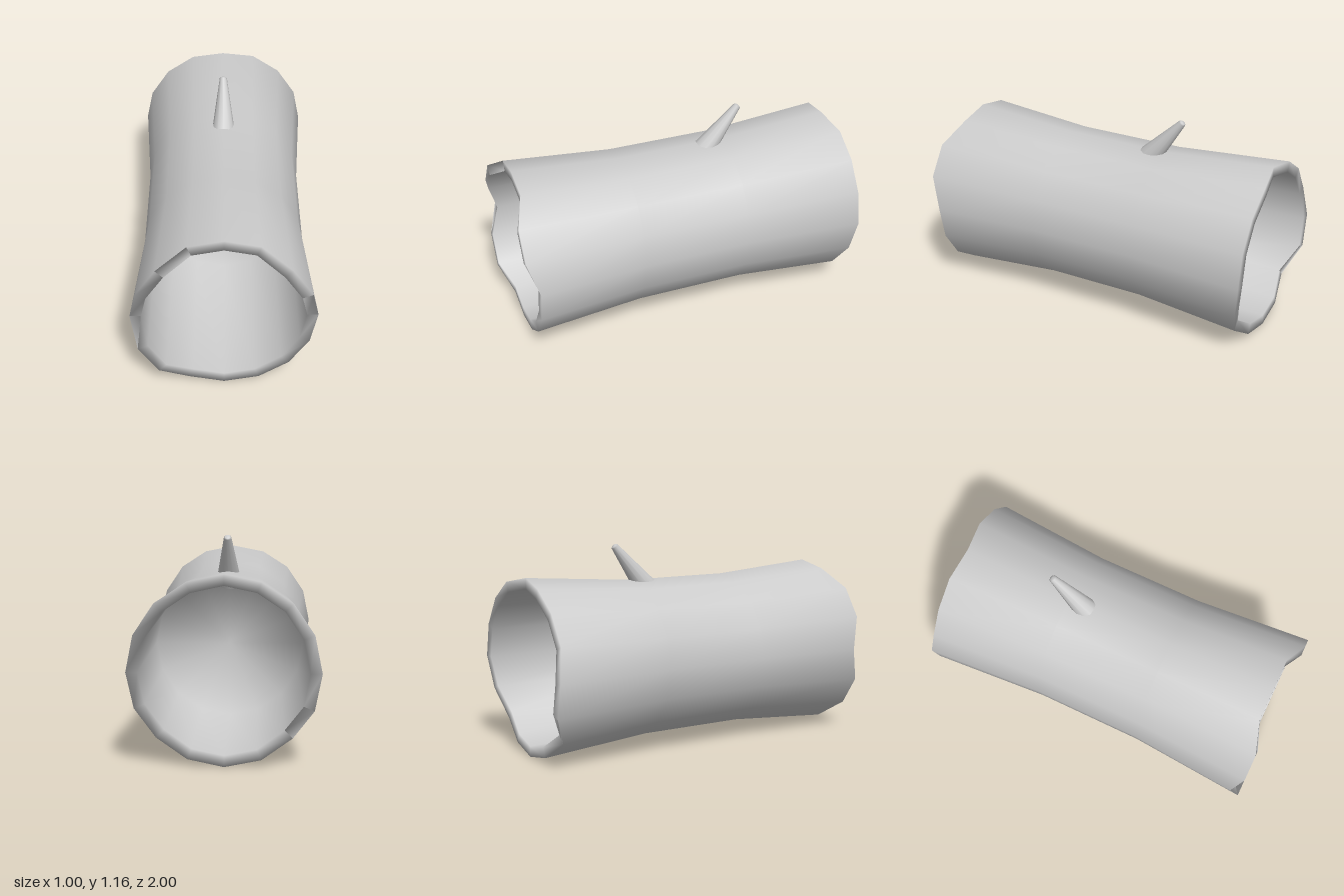
import * as THREE from 'three';

const SIDES = 16;
// Ragged end heights, counter-clockwise from the +x side
const frontEnd = [0.94, 1, 1, 0.94, 0.94, 0.94, 1, 1, 0.95, 1, 1, 0.94, 0.94, 0.94, 0.94, 0.94];
const backEnd = [-0.985, -0.985, -0.985, -0.985, -0.955, -0.975, -0.975, -0.975, -1, -1, -0.92, -0.95, -0.95, -0.94, -0.92, -0.96];

// Rings [radius, z at side j], running from the front hollow over the bark to the back hollow
const rings = [
  [0, () => 0.03],
  [0.43, () => 0.03],
  [0.44, (j) => frontEnd[j]],
  [0.5, (j) => frontEnd[j]],
  [0.45, () => 0.32],
  [0.45, () => -0.31],
  [0.5, (j) => backEnd[j]],
  [0.44, (j) => backEnd[j]],
  [0.43, () => -0.03],
  [0, () => -0.03],
];

function logGeometry() {
  const positions = [];
  const index = [];
  rings.forEach(([radius, z], i) => {
    for (let j = 0; j < SIDES; j++) {
      const angle = (j / SIDES) * Math.PI * 2;
      positions.push(radius * Math.cos(angle), 0.503 + radius * Math.sin(angle), z(j));
      if (i === rings.length - 1) continue;
      const k = (j + 1) % SIDES;
      const a = i * SIDES + j, b = a + SIDES;
      const c = (i + 1) * SIDES + k, d = i * SIDES + k;
      // The hollow ends close on a point, so they need one triangle per side
      if (rings[i + 1][0] > 0) index.push(a, b, c);
      else index.push(a, b, d);
      if (radius > 0 && rings[i + 1][0] > 0) index.push(a, c, d);
    }
  });
  const geometry = new THREE.BufferGeometry();
  geometry.setAttribute('position', new THREE.Float32BufferAttribute(positions, 3));
  geometry.setIndex(index);
  geometry.computeVertexNormals();
  return geometry;
}

export function createModel() {
  const group = new THREE.Group();
  group.name = 'hollowLog';
  const material = new THREE.MeshStandardMaterial({ color: 0xcccccc });

  // Trunk with a hollow in each end
  const trunk = new THREE.Mesh(logGeometry(), material);
  trunk.name = 'trunk';
  group.add(trunk);

  // Short tapering branch stub leaning to the back, its foot sunk in the trunk
  const foot = new THREE.Vector3(0, 0.89, -0.19);
  const tip = new THREE.Vector3(0, 1.153, -0.408);
  const along = tip.clone().sub(foot);
  const length = along.length();
  const profile = [[0.07, 0], [0.021, length - 0.006], [0.015, length], [0, length + 0.003]];
  const branch = new THREE.Mesh(
    new THREE.LatheGeometry(profile.map(([r, y]) => new THREE.Vector2(r, y)), 12),
    material
  );
  branch.name = 'branch';
  branch.position.copy(foot);
  branch.quaternion.setFromUnitVectors(new THREE.Vector3(0, 1, 0), along.normalize());
  group.add(branch);

  return group;
}
